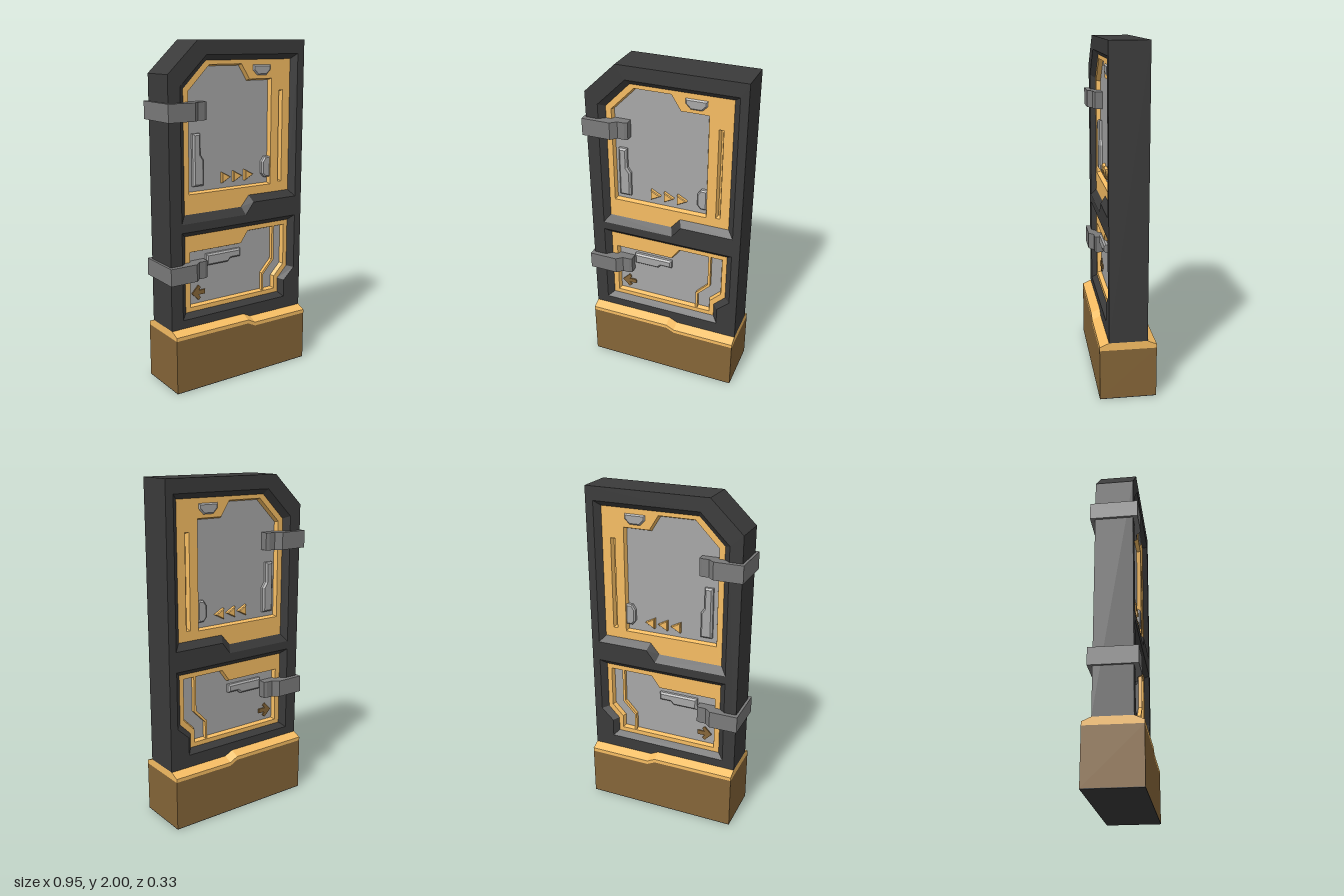
import * as THREE from 'three';

const mat = (color) => new THREE.MeshStandardMaterial({ color, flatShading: true });
const DARK = mat(0x3b3b3b), ORANGE = mat(0xf6bd63), BROWN = mat(0x856538);
const GREY = mat(0xa7a7a7), STEEL = mat(0x7a7a7a);

// Outlines run clockwise, holes are turned the other way
const path = (pts) => pts.map(([x, y]) => new THREE.Vector2(x, y));
const shapeOf = (pts, holes = []) => {
  const s = new THREE.Shape(path(pts));
  s.holes = holes.map((h) => new THREE.Path(path(h).reverse()));
  return s;
};

// Plate between z0 and z1; bevel is its depth, size its width, offset moves the front outline
function plate(pts, z0, z1, holes = [], bevel = 0, size = bevel, offset = -size) {
  const g = new THREE.ExtrudeGeometry(shapeOf(pts, holes), {
    depth: z1 - z0 - 2 * bevel, bevelEnabled: bevel > 0, bevelSegments: 1,
    bevelSize: size, bevelThickness: bevel, bevelOffset: offset,
  });
  return g.translate(0, 0, z0 + bevel);
}

// Sloped ring joining two clockwise outlines at different depths
function slopedRing(outer, inner, zOuter, zInner) {
  const v = [];
  outer.forEach((a, i) => {
    const j = (i + 1) % outer.length;
    const oa = [...a, zOuter], ob = [...outer[j], zOuter];
    const ia = [...inner[i], zInner], ib = [...inner[j], zInner];
    v.push(...oa, ...ia, ...ib, ...oa, ...ib, ...ob);
  });
  const g = new THREE.BufferGeometry();
  g.setAttribute('position', new THREE.Float32BufferAttribute(v, 3));
  g.computeVertexNormals();
  return g;
}

// Copy reflected to the back, with the winding turned round
function mirrored(geo) {
  const p = geo.getAttribute('position'), v = [];
  for (let i = 0; i < p.count; i += 3)
    for (const k of [i, i + 2, i + 1]) v.push(p.getX(k), p.getY(k), -p.getZ(k));
  const g = new THREE.BufferGeometry();
  g.setAttribute('position', new THREE.Float32BufferAttribute(v, 3));
  g.computeVertexNormals();
  return g;
}

export function createModel() {
  const model = new THREE.Group();
  model.name = 'door';
  const add = (name, geo, material) => {
    const m = new THREE.Mesh(geo, material);
    m.name = name;
    model.add(m);
  };
  const both = (name, geo, material) => {
    add(name + 'Front', geo, material);
    add(name + 'Back', mirrored(geo), material);
  };
  const Z = 0.11, ZP = 0.08, ZG = 0.055; // frame, panel and inset depths

  // Frame with two openings
  const upOuter = [[-0.385, 0.99], [-0.385, 1.755], [-0.215, 1.92], [0.425, 1.92], [0.425, 1.06], [0.11, 1.06], [0.055, 0.99]];
  const upInner = [[-0.35, 1.035], [-0.35, 1.74], [-0.2, 1.89], [0.39, 1.89], [0.39, 1.1], [0.095, 1.1], [0.04, 1.035]];
  const loOuter = [[-0.385, 0.42], [-0.385, 0.94], [0.425, 0.94], [0.425, 0.6], [0.35, 0.53], [0.35, 0.42]];
  const loInner = [[-0.35, 0.45], [-0.35, 0.91], [0.39, 0.91], [0.39, 0.61], [0.32, 0.54], [0.32, 0.45]];
  const body = [[-0.46, 0.37], [-0.46, 1.82], [-0.27, 2], [0.472, 2], [0.472, 0.345], [0.09, 0.345], [0.04, 0.37]];
  add('frame', plate(body, -Z, Z, [upOuter, loOuter]), DARK);
  both('upperBevel', slopedRing(upOuter, upInner, Z, ZP), DARK);
  both('lowerBevel', slopedRing(loOuter, loInner, Z, ZP), DARK);

  // Orange panels whose openings slope down to grey insets
  const upInset = [[-0.317, 1.15], [-0.317, 1.727], [-0.177, 1.867], [0.04, 1.867], [0.095, 1.78], [0.254, 1.78], [0.254, 1.15]];
  const loInset = [[-0.317, 0.477], [-0.317, 0.812], [0.04, 0.812], [0.09, 0.882], [0.362, 0.882], [0.362, 0.628], [0.293, 0.558], [0.293, 0.477]];
  const slot = [[0.31, 1.16], [0.31, 1.71], [0.337, 1.71], [0.337, 1.16]];
  both('upperPanel', plate(upInner, 0.025, ZP, [upInset, slot], 0.025, 0.009, 0), ORANGE);
  both('lowerPanel', plate(loInner, 0.025, ZP, [loInset], 0.025, 0.009, 0), ORANGE);
  both('slotFloor', plate(slot, 0.03, ZG), ORANGE);
  both('upperInset', plate(upInset, 0.02, ZG), GREY);
  both('lowerInset', plate(loInset, 0.02, ZG), GREY);

  // Raised details on the panels
  const cap = [[0.12, 1.86], [0.245, 1.86], [0.245, 1.83], [0.215, 1.8], [0.15, 1.8], [0.12, 1.83]];
  both('topTab', plate(cap, 0.05, ZP + 0.008, [], 0.008), GREY);
  const upHandle = [[-0.285, 1.19], [-0.285, 1.49], [-0.235, 1.49], [-0.235, 1.37], [-0.215, 1.34], [-0.215, 1.19]];
  both('upperHandle', plate(upHandle, 0.04, ZP, [], 0.01), GREY);
  const sideTab = [[0.254, 1.32], [0.215, 1.32], [0.195, 1.29], [0.195, 1.22], [0.215, 1.195], [0.254, 1.195]].reverse();
  both('sideTab', plate(sideTab, 0.04, ZP, [], 0.008), GREY);
  for (const x of [-0.09, -0.009, 0.072])
    both('triangle', plate([[x, 1.19], [x, 1.255], [x + 0.06, 1.2225]], 0.04, ZP - 0.003, [], 0.005), ORANGE);
  const loHandle = [[-0.2, 0.78], [0.04, 0.78], [0.04, 0.73], [-0.03, 0.73], [-0.05, 0.71], [-0.2, 0.71]];
  both('lowerHandle', plate(loHandle, 0.04, ZP, [], 0.01), GREY);
  const strip = [[0.275, 0.88], [0.29, 0.88], [0.29, 0.665], [0.213, 0.585], [0.213, 0.48], [0.2, 0.48], [0.2, 0.592], [0.275, 0.672]];
  both('strip', plate(strip, 0.04, ZP - 0.003), ORANGE);
  const arrow = [[-0.295, 0.55], [-0.25, 0.597], [-0.235, 0.582], [-0.25, 0.565], [-0.205, 0.565], [-0.205, 0.538], [-0.25, 0.538], [-0.235, 0.52], [-0.25, 0.505]];
  both('arrow', plate(arrow, 0.04, ZG + 0.008), BROWN);

  // Base block
  const base = [[-0.46, 0.004], [-0.46, 0.325], [0.04, 0.325], [0.09, 0.3], [0.472, 0.3], [0.472, 0.004]];
  add('base', plate(base, -0.163, 0.163), BROWN);
  add('underside', new THREE.BoxGeometry(0.932, 0.004, 0.326).translate(0.006, 0.002, 0), DARK);

  // Chamfered trim swept along x, stepping down with the base
  const profile = [[-0.163, 0], [0.163, 0], [0.163, 0.022], [0.11, 0.045], [-0.11, 0.045], [-0.163, 0.022]];
  const trim = new THREE.ExtrudeGeometry(shapeOf(profile), { depth: 3, steps: 3, bevelEnabled: false });
  const p = trim.getAttribute('position');
  const xs = [-0.46, 0.04, 0.09, 0.472], ys = [0.325, 0.325, 0.3, 0.3];
  for (let i = 0; i < p.count; i++) {
    const k = Math.round(p.getZ(i));
    p.setXYZ(i, xs[k], p.getY(i) + ys[k], -p.getX(i));
  }
  trim.computeVertexNormals();
  add('trim', trim, ORANGE);

  // Hinge clamps wrapping one upright edge, drawn in plan
  const half = [[-0.475, 0.138], [-0.305, 0.138], [-0.27, 0.108], [-0.23, 0.108], [-0.212, 0.1], [-0.212, 0.05]];
  const clamp = [...half, ...half.map(([x, z]) => [x, -z]).reverse()];
  for (const y of [0.65, 1.566])
    add('hingeClamp', plate(clamp, 0, 0.102).rotateX(-Math.PI / 2).translate(0, y, 0), STEEL);
  return model;
}
